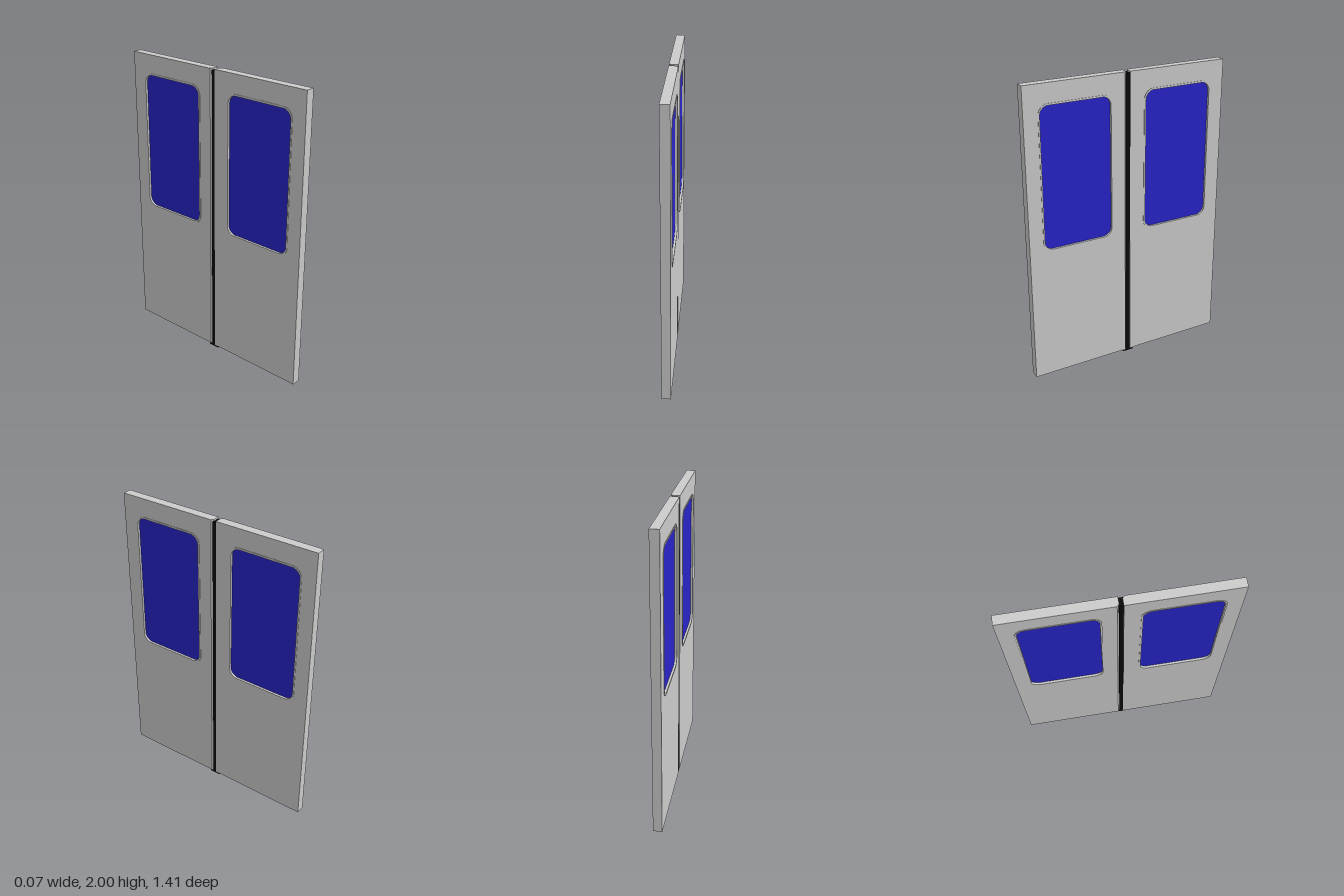
import * as THREE from 'three';

const grey = new THREE.MeshStandardMaterial({ color: 0xcccccc });
const blue = new THREE.MeshStandardMaterial({ color: 0x2824c8 });
const black = new THREE.MeshStandardMaterial({ color: 0x0a0a0c });

// Rounded rectangle in the door plane
function roundedRect(x0, x1, y0, y1, r, Type = THREE.Shape) {
  const s = new Type();
  s.absarc(x1 - r, y1 - r, r, 0, Math.PI / 2);
  s.absarc(x0 + r, y1 - r, r, Math.PI / 2, Math.PI);
  s.absarc(x0 + r, y0 + r, r, Math.PI, Math.PI * 1.5);
  s.absarc(x1 - r, y0 + r, r, Math.PI * 1.5, Math.PI * 2);
  s.closePath();
  return s;
}

// Extrudes a door-plane shape to a thickness centred on x = 0
function slab(shape, thickness, steps = 1) {
  const g = new THREE.ExtrudeGeometry(shape, { depth: thickness, steps, bevelEnabled: false, curveSegments: 8 });
  g.translate(0, 0, -thickness / 2);
  return g;
}

function add(group, name, geometry, material) {
  const mesh = new THREE.Mesh(geometry, material);
  mesh.name = name;
  group.add(mesh);
  return mesh;
}

// One leaf, reaching from the centre seam outwards to z = 0.71
function makeLeaf() {
  const leaf = new THREE.Group();
  const inner = -0.012, outer = -0.707;

  // Panel with a window opening; the outer layer is pulled back for a chamfered seam edge
  const shape = new THREE.Shape([
    new THREE.Vector2(outer, 0.015), new THREE.Vector2(inner, 0.015),
    new THREE.Vector2(inner, 2), new THREE.Vector2(outer, 2),
  ]);
  shape.holes.push(roundedRect(-0.608, -0.117, 0.922, 1.872, 0.065, THREE.Path));
  const panel = slab(shape, 0.06, 4);
  const p = panel.attributes.position;
  for (let i = 0; i < p.count; i++) {
    if (p.getX(i) > inner - 0.001 && p.getZ(i) > 0.029) p.setX(i, inner - 0.013);
  }
  panel.computeVertexNormals();
  add(leaf, 'panel', panel, grey);

  // Slightly raised window surround
  const rim = roundedRect(-0.612, -0.113, 0.916, 1.876, 0.068);
  rim.holes.push(roundedRect(-0.602, -0.125, 0.93, 1.864, 0.058, THREE.Path));
  add(leaf, 'windowFrame', slab(rim, 0.066), grey);

  // Recessed pane
  add(leaf, 'windowPane', slab(roundedRect(-0.607, -0.12, 0.925, 1.869, 0.062), 0.036), blue);

  leaf.rotation.y = Math.PI / 2;
  return leaf;
}

export function createModel() {
  const model = new THREE.Group();
  model.name = 'doubleDoor';

  // Two identical leaves, turned half a revolution from each other
  ['frontLeaf', 'backLeaf'].forEach((name, i) => {
    const leaf = makeLeaf();
    leaf.name = name;
    leaf.rotation.y += i * Math.PI;
    model.add(leaf);
  });

  // Rubber seal in the seam
  add(model, 'centreSeal', new THREE.BoxGeometry(0.052, 1.985, 0.03), black).position.y = 0.9975;

  // Small foot under the seam
  add(model, 'sealFoot', new THREE.BoxGeometry(0.052, 0.015, 0.076), black).position.y = 0.0075;

  return model;
}
